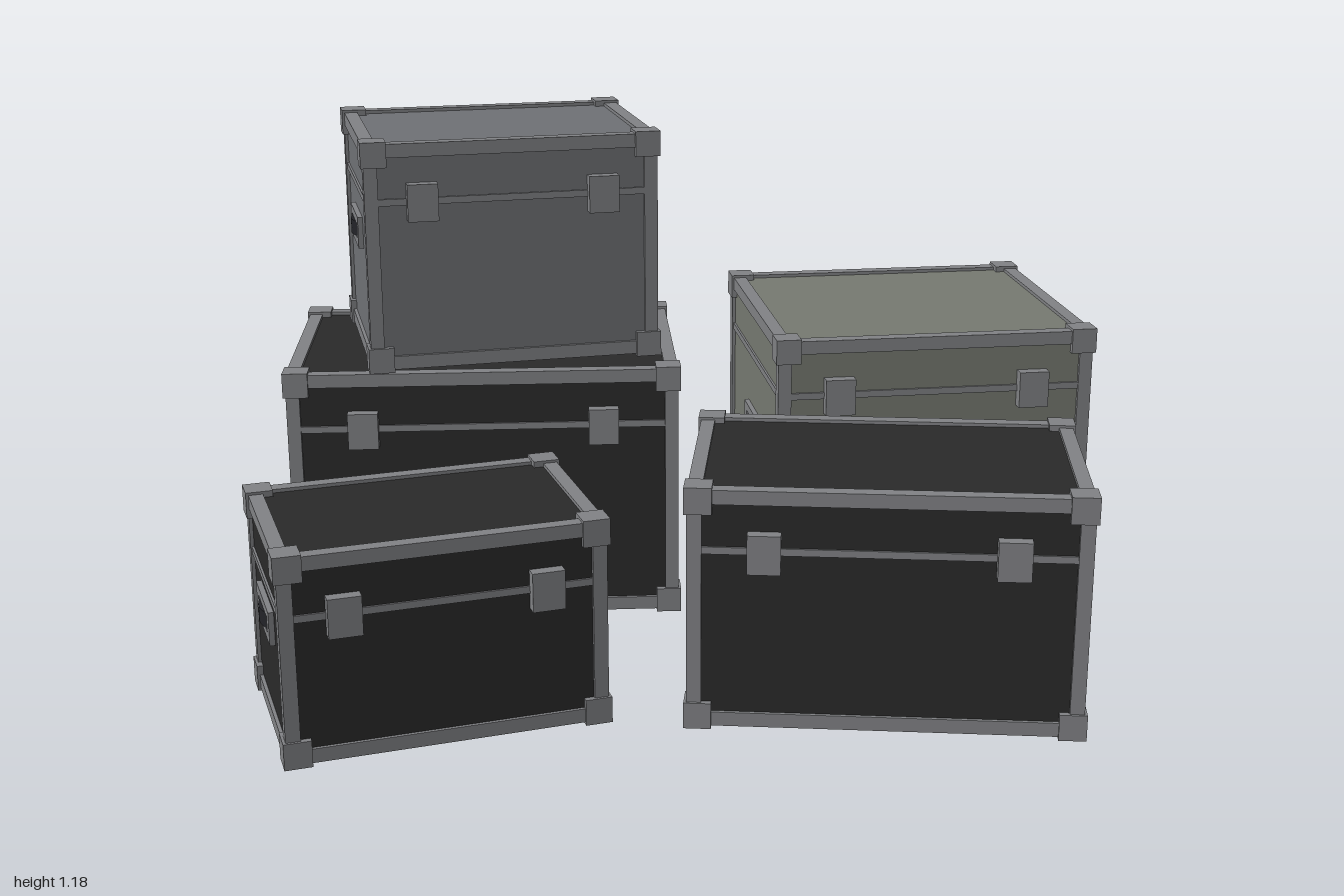
import * as THREE from 'three';

const mat = (color) => new THREE.MeshStandardMaterial({ color, flatShading: true });

const LID = 0.143;    // lid height below the top
const CAP = 0.06;     // corner cap size
const EDGE = 0.032;   // edge rail width
const INSET = 0.006;  // rails sit this far inside the caps
const SKIN = 0.014;   // panels sit this far inside the caps

function addBox(parent, name, material, size, pos) {
  const mesh = new THREE.Mesh(new THREE.BoxGeometry(...size), material);
  mesh.name = name;
  mesh.position.set(...pos);
  parent.add(mesh);
  return mesh;
}

// Bowed grip bar, lying along x and bulging towards +z
function gripGeometry(length, height, bulge) {
  const shape = new THREE.Shape();
  shape.moveTo(-length / 2, 0);
  shape.quadraticCurveTo(0, bulge * 2, length / 2, 0);
  shape.closePath();
  const geo = new THREE.ExtrudeGeometry(shape, { depth: height, bevelEnabled: false, curveSegments: 10 });
  geo.translate(0, 0, -height / 2);
  geo.rotateX(Math.PI / 2);
  return geo;
}

// Rectangular handle frame with an opening
function frameGeometry() {
  const rect = (path, w, h) => {
    path.moveTo(-w / 2, -h / 2);
    path.lineTo(w / 2, -h / 2);
    path.lineTo(w / 2, h / 2);
    path.lineTo(-w / 2, h / 2);
    path.closePath();
    return path;
  };
  const shape = rect(new THREE.Shape(), 0.187, 0.076);
  shape.holes.push(rect(new THREE.Path(), 0.125, 0.036));
  return new THREE.ExtrudeGeometry(shape, { depth: 0.012, bevelEnabled: false });
}

function createCase(name, w, h, d, panel, metal, dark) {
  const g = new THREE.Group();
  g.name = name;
  const seamY = h - LID;

  // Panelled body
  addBox(g, 'body', panel, [w - 2 * SKIN, h - 2 * SKIN, d - 2 * SKIN], [0, h / 2, 0]);

  // Band around the joint between lid and base
  addBox(g, 'lidSeam', metal, [w - 2 * INSET - 0.006, 0.016, d - 2 * INSET - 0.006], [0, seamY, 0]);

  // Edge rails and corner caps
  const off = INSET + EDGE / 2;
  const ex = w / 2 - off, ez = d / 2 - off;
  for (const a of [-1, 1]) {
    for (const b of [-1, 1]) {
      const y = h / 2 + b * (h / 2 - off);
      addBox(g, 'uprightRail', metal, [EDGE, h - 2 * INSET, EDGE], [a * ex, h / 2, b * ez]);
      addBox(g, 'longRail', metal, [w - 2 * INSET, EDGE, EDGE], [0, y, a * ez]);
      addBox(g, 'crossRail', metal, [EDGE, EDGE, d - 2 * INSET], [a * ex, y, 0]);
      for (const c of [0, 1]) {
        addBox(g, 'cornerCap', metal, [CAP, CAP, CAP],
          [a * (w - CAP) / 2, c ? h - CAP / 2 : CAP / 2, b * (d - CAP) / 2]);
      }
    }
  }

  for (const s of [-1, 1]) {
    // Front latches across the joint
    addBox(g, 'latch', metal, [0.072, 0.088, 0.03], [s * w * 0.303, seamY, d / 2 - 0.001]);

    // Side handles
    const handle = new THREE.Group();
    handle.name = 'sideHandle';
    handle.position.set(s * (w / 2 - SKIN), h * 0.55, 0);
    handle.rotation.y = s * Math.PI / 2;
    const frame = new THREE.Mesh(frameGeometry(), metal);
    frame.name = 'handleFrame';
    const grip = new THREE.Mesh(gripGeometry(0.125, 0.036, 0.02), dark);
    grip.name = 'handleGrip';
    // turn the bulge outwards
    grip.geometry.computeBoundingBox();
    if (grip.geometry.boundingBox.max.z < 0.01) grip.geometry.rotateX(Math.PI);
    handle.add(frame, grip);
    g.add(handle);
  }
  return g;
}

export function createModel() {
  const model = new THREE.Group();
  model.name = 'stackedCases';
  const black = mat(0x2a2a2a), grey = mat(0x707276), olive = mat(0x777a72);
  const metal = mat(0x828386), dark = mat(0x232428);

  // name, width, height, depth, panel, x, y, z, turn
  const cases = [
    ['lowerBackCase', 0.946, 0.63, 0.632, black, -0.475, 0, -0.365, 0],
    ['topCase', 0.706, 0.55, 0.537, grey, -0.438, 0.63, -0.36, 0.175],
    ['largeBackCase', 0.783, 0.71, 0.708, olive, 0.583, 0, -0.361, 0.075],
    ['frontWideCase', 0.868, 0.555, 0.545, black, 0.428, 0, 0.385, -0.14],
    ['frontSmallCase', 0.714, 0.475, 0.468, black, -0.597, 0, 0.42, 0.262],
  ];
  for (const [name, w, h, d, panel, x, y, z, turn] of cases) {
    const c = createCase(name, w, h, d, panel, metal, dark);
    c.position.set(x, y, z);
    c.rotation.y = turn;
    model.add(c);
  }
  return model;
}
